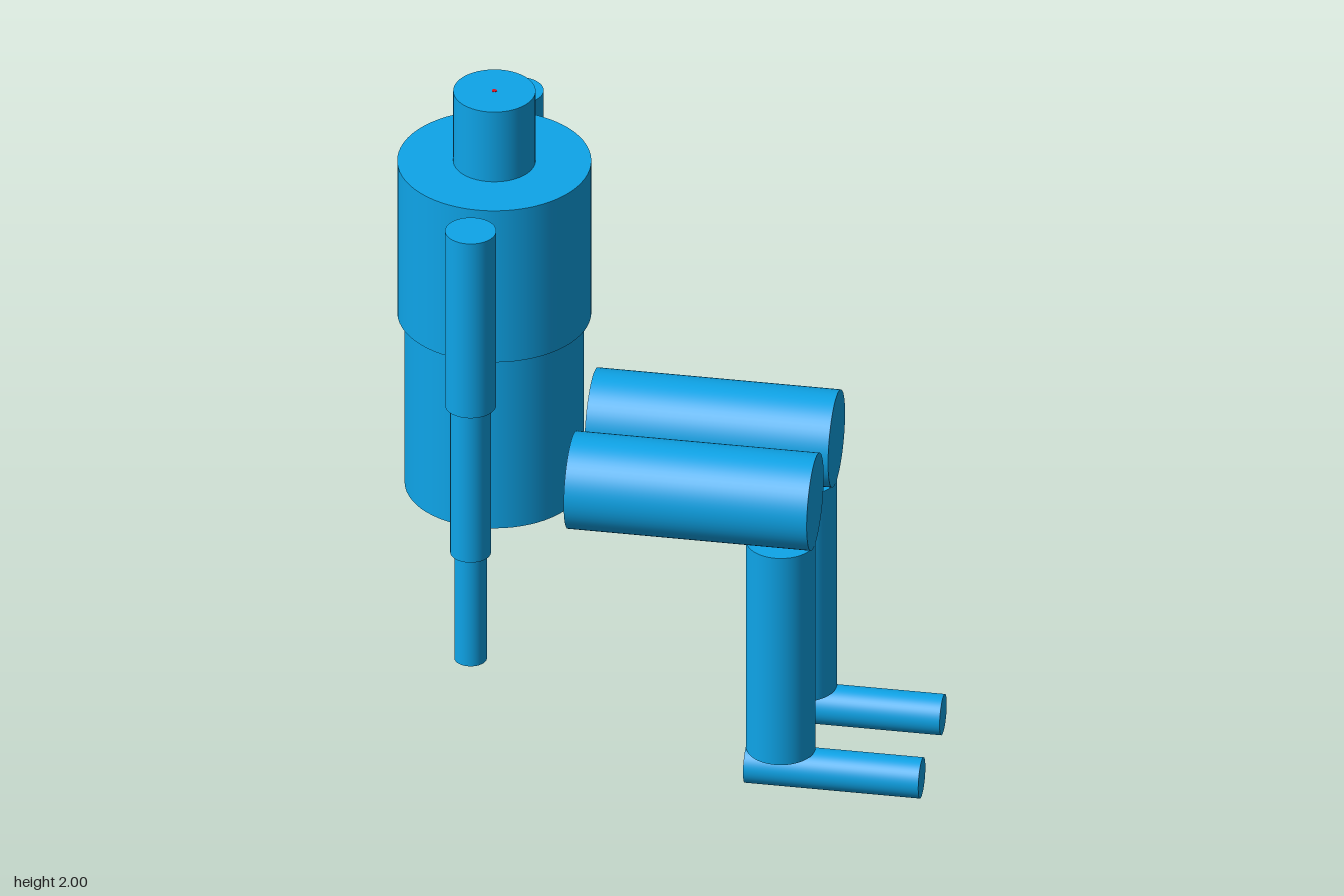
import * as THREE from 'three';

const blue = new THREE.MeshStandardMaterial({ color: 0x0ea5e9 });
const red = new THREE.MeshStandardMaterial({ color: 0xe01020 });
const BODY_X = -0.47;

// Upright cylinder between two heights
function upright(name, r, y0, y1, x, z, material = blue) {
  const mesh = new THREE.Mesh(new THREE.CylinderGeometry(r, r, y1 - y0, 64), material);
  mesh.name = name;
  mesh.position.set(x, (y0 + y1) / 2, z);
  return mesh;
}

// Cylinder lying along x
function lying(name, r, x0, x1, y, z) {
  const geometry = new THREE.CylinderGeometry(r, r, x1 - x0, 64).rotateZ(-Math.PI / 2);
  const mesh = new THREE.Mesh(geometry, blue);
  mesh.name = name;
  mesh.position.set((x0 + x1) / 2, y, z);
  return mesh;
}

export function createModel() {
  const model = new THREE.Group();
  model.name = 'seatedFigure';

  // Trunk and head
  model.add(
    upright('abdomen', 0.242, 0.766, 1.302, BODY_X, 0),
    upright('chest', 0.262, 1.302, 1.78, BODY_X, 0),
    upright('head', 0.111, 1.78, 2, BODY_X, 0),
    upright('crownDot', 0.007, 1.99, 2.001, BODY_X, 0, red),
  );

  for (const side of [1, -1]) {
    // Arm hanging straight down
    const arm = new THREE.Group();
    arm.name = side > 0 ? 'armFront' : 'armBack';
    const az = side * 0.371;
    arm.add(
      upright('upperArm', 0.069, 1.23, 1.78, BODY_X, az),
      upright('forearm', 0.055, 0.766, 1.23, BODY_X, az),
      upright('hand', 0.044, 0.432, 0.766, BODY_X, az),
    );

    // Leg bent at the knee, foot pointing along +x
    const leg = new THREE.Group();
    leg.name = side > 0 ? 'legFront' : 'legBack';
    const lz = side * 0.167;
    leg.add(
      lying('thigh', 0.133, -0.228, 0.438, 0.898, lz),
      upright('shin', 0.094, 0.114, 0.766, 0.344, lz),
      lying('foot', 0.056, 0.25, 0.73, 0.057, lz),
    );
    model.add(arm, leg);
  }
  return model;
}
